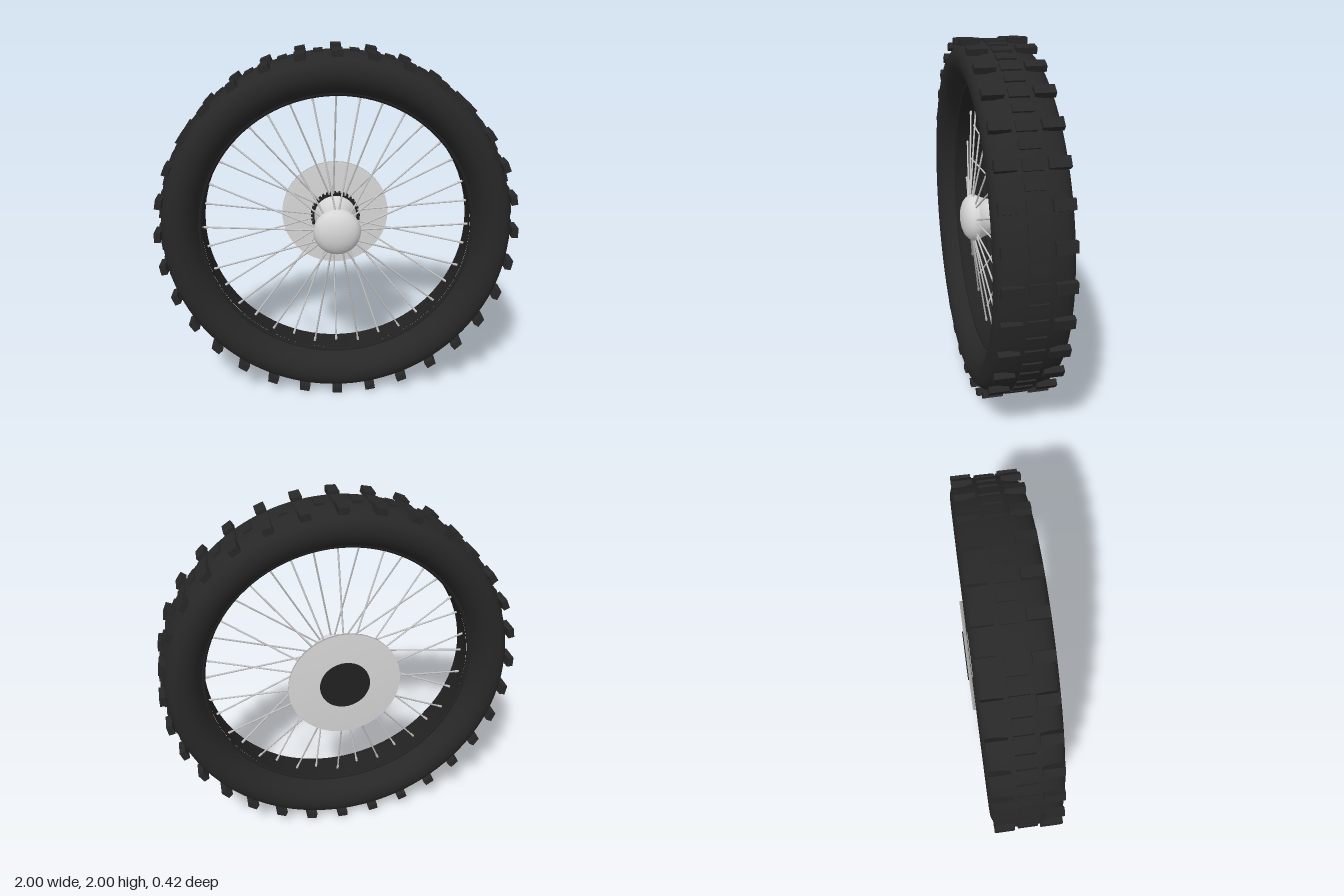
import * as THREE from 'three';

const mat = (name, color) => Object.assign(new THREE.MeshStandardMaterial({ color }), { name });

export function createModel() {
  const rubber = mat('rubber', 0x272727);
  const rimBlack = mat('rim black', 0x222222);
  const metal = mat('brushed metal', 0xd6d6d6);
  const spokeSteel = mat('spoke steel', 0xc4c4c4);
  const capBlack = mat('cap black', 0x212121);

  const model = new THREE.Group();
  model.name = 'wheel';
  const wheel = new THREE.Group();
  wheel.name = 'wheelAssembly';
  wheel.position.y = 1;
  model.add(wheel);
  const midZ = 0.01; // centre plane of the tyre

  const add = (name, geometry, material, parent = wheel) => {
    const mesh = new THREE.Mesh(geometry, material);
    mesh.name = name;
    parent.add(mesh);
    return mesh;
  };
  // Revolve [radius, z] points about the axle
  const turn = (points, segments = 96) =>
    new THREE.LatheGeometry(points.map(([r, z]) => new THREE.Vector2(r, z)), segments).rotateX(Math.PI / 2);

  // Tyre: rounded half profile mirrored across the centre plane
  const half = [[0.764, 0.08], [0.772, 0.105], [0.786, 0.135], [0.806, 0.163], [0.835, 0.186], [0.87, 0.195],
    [0.9, 0.194], [0.928, 0.186], [0.947, 0.168], [0.96, 0.143], [0.971, 0.105], [0.979, 0.055]];
  const profile = [...half.map(([r, z]) => [r, midZ - z]), [0.982, midZ],
    ...half.slice().reverse().map(([r, z]) => [r, midZ + z])];
  add('tyre', turn(profile, 128), rubber);

  // Rim: narrow inner band with a rolled lip at each side
  add('rimBand', turn([[0.75, midZ + 0.075], [0.75, midZ - 0.075]]), rimBlack);
  for (const s of [-1, 1]) {
    const lip = add(s > 0 ? 'frontRimLip' : 'backRimLip', new THREE.TorusGeometry(0.765, 0.015, 8, 96), rimBlack);
    lip.position.z = midZ + s * 0.078;
  }

  // Tread: low centre blocks and flat knobs overhanging each shoulder
  const tread = new THREE.Group();
  tread.name = 'tread';
  wheel.add(tread);
  const block = (name, angle, rIn, rOut, width, depth, z) => {
    const mesh = add(name, new THREE.BoxGeometry(rOut - rIn, width, depth), rubber, tread);
    const r = (rIn + rOut) / 2;
    mesh.position.set(r * Math.cos(angle), r * Math.sin(angle), z);
    mesh.rotation.z = angle;
  };
  for (let i = 0; i < 64; i++) {
    const a = (i / 64) * Math.PI * 2;
    block('centreBlock', a, 0.96, 0.99, i % 2 ? 0.05 : 0.064, 0.1, midZ);
    if (i % 2 === 0) {
      for (const s of [-1, 1]) block('shoulderKnob', a, 0.965, 0.9995, 0.056, 0.106, midZ + s * 0.127);
    }
  }

  // Hub: waisted barrel with a domed front cap
  add('hubBarrel', turn([[0.13, -0.185], [0.13, -0.15], [0.113, -0.11], [0.1, -0.06], [0.097, 0],
    [0.103, 0.05], [0.117, 0.085], [0.13, 0.11]], 48), metal);
  add('hubCap', turn([[0.13, 0.11], [0.133, 0.125], [0.129, 0.143], [0.117, 0.162], [0.096, 0.179],
    [0.065, 0.192], [0.03, 0.199], [0, 0.2]], 48), metal);

  // Toothed ring behind the barrel
  const ring = add('toothedRing', new THREE.CylinderGeometry(0.134, 0.134, 0.03, 48).rotateX(Math.PI / 2), capBlack);
  ring.position.z = -0.15;
  for (let i = 0; i < 36; i++) {
    const a = (i / 36) * Math.PI * 2;
    const tooth = add('ringTooth', new THREE.BoxGeometry(0.016, 0.011, 0.03), capBlack);
    tooth.position.set(0.136 * Math.cos(a), 0.136 * Math.sin(a), -0.15);
    tooth.rotation.z = a;
  }

  // Back disc with softly shaded edge, and its dark centre plate
  add('backDisc', turn([[0, -0.205], [0.313, -0.205], [0.313, -0.188], [0, -0.188]], 64), metal);
  const plate = add('backCentrePlate', new THREE.CylinderGeometry(0.14, 0.14, 0.008, 48).rotateX(Math.PI / 2), capBlack);
  plate.position.z = -0.207;

  // Spokes: alternate between the front and back hub flanges, leaning slightly
  const up = new THREE.Vector3(0, 1, 0);
  const rod = (name, from, to, radius) => {
    const dir = to.clone().sub(from);
    const mesh = add(name, new THREE.CylinderGeometry(radius, radius, dir.length(), 8), spokeSteel);
    mesh.position.copy(from).addScaledVector(dir, 0.5);
    mesh.quaternion.setFromUnitVectors(up, dir.normalize());
  };
  for (let i = 0; i < 36; i++) {
    const a = (i / 36) * Math.PI * 2;
    const front = i % 2 === 0;
    const lean = a + (i % 4 < 2 ? 0.1 : -0.1);
    const hub = new THREE.Vector3(0.118 * Math.cos(lean), 0.118 * Math.sin(lean), front ? 0.13 : -0.145);
    const rim = new THREE.Vector3(0.757 * Math.cos(a), 0.757 * Math.sin(a), midZ + (front ? 0.015 : -0.015));
    rod('spoke', hub, rim, 0.005);
    rod('spokeNipple', rim.clone().lerp(hub, 0.05), rim, 0.007);
  }
  return model;
}
